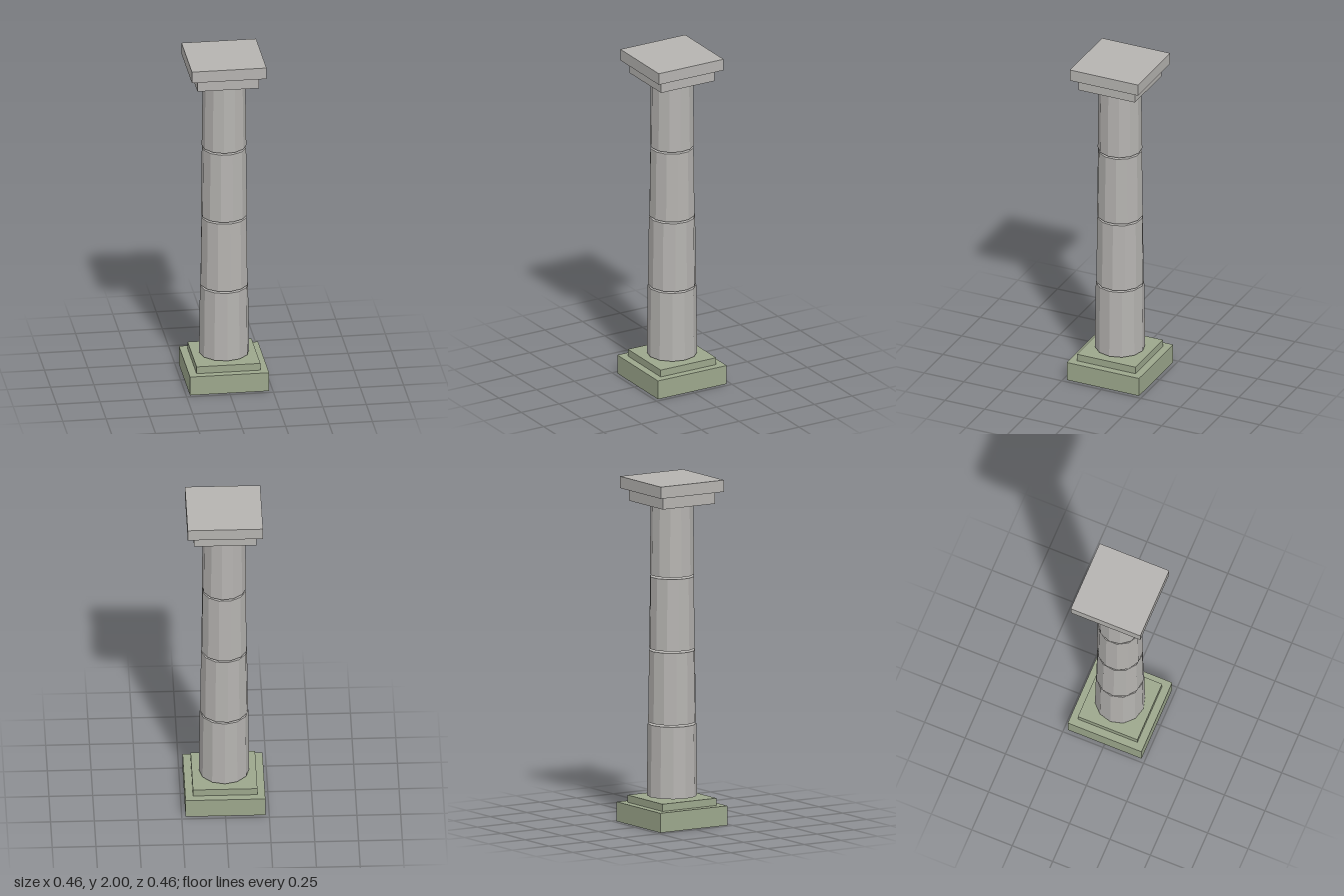
import * as THREE from 'three';

export function createModel() {
  const column = new THREE.Group();
  column.name = 'column';

  const stone = new THREE.MeshStandardMaterial({ color: 0xb5b3b0, flatShading: true });
  stone.name = 'grey stone';
  const moss = new THREE.MeshStandardMaterial({ color: 0x9ca78c, flatShading: true });
  moss.name = 'mossy stone';

  function add(name, geometry, material, y0, y1) {
    const mesh = new THREE.Mesh(geometry, material);
    mesh.name = name;
    mesh.position.y = (y0 + y1) / 2;
    column.add(mesh);
    return mesh;
  }

  // Square slab between two heights
  const slab = (name, width, y0, y1, material) =>
    add(name, new THREE.BoxGeometry(width, y1 - y0, width), material, y0, y1);

  // Stepped base
  slab('plinth', 0.456, 0, 0.113, moss);
  slab('plinthStep', 0.368, 0.113, 0.155, moss);

  // Tapering shaft of four drums with thin open joints, each turned a little
  const bottom = 0.164, top = 1.861, count = 4, joint = 0.011;
  const height = (top - bottom - joint * (count - 1)) / count;
  const radiusAt = (y) => THREE.MathUtils.mapLinear(y, bottom, top, 0.144, 0.122);
  for (let i = 0; i < count; i++) {
    const y0 = bottom + i * (height + joint);
    const y1 = y0 + height;
    const drum = add(`shaftDrum${i + 1}`,
      new THREE.CylinderGeometry(radiusAt(y1), radiusAt(y0), height, 12), stone, y0, y1);
    drum.rotation.y = i * 0.13;
  }

  // Stepped capital
  slab('capitalStep', 0.356, 1.861, 1.932, stone);
  slab('abacus', 0.43, 1.932, 2, stone);

  return column;
}
